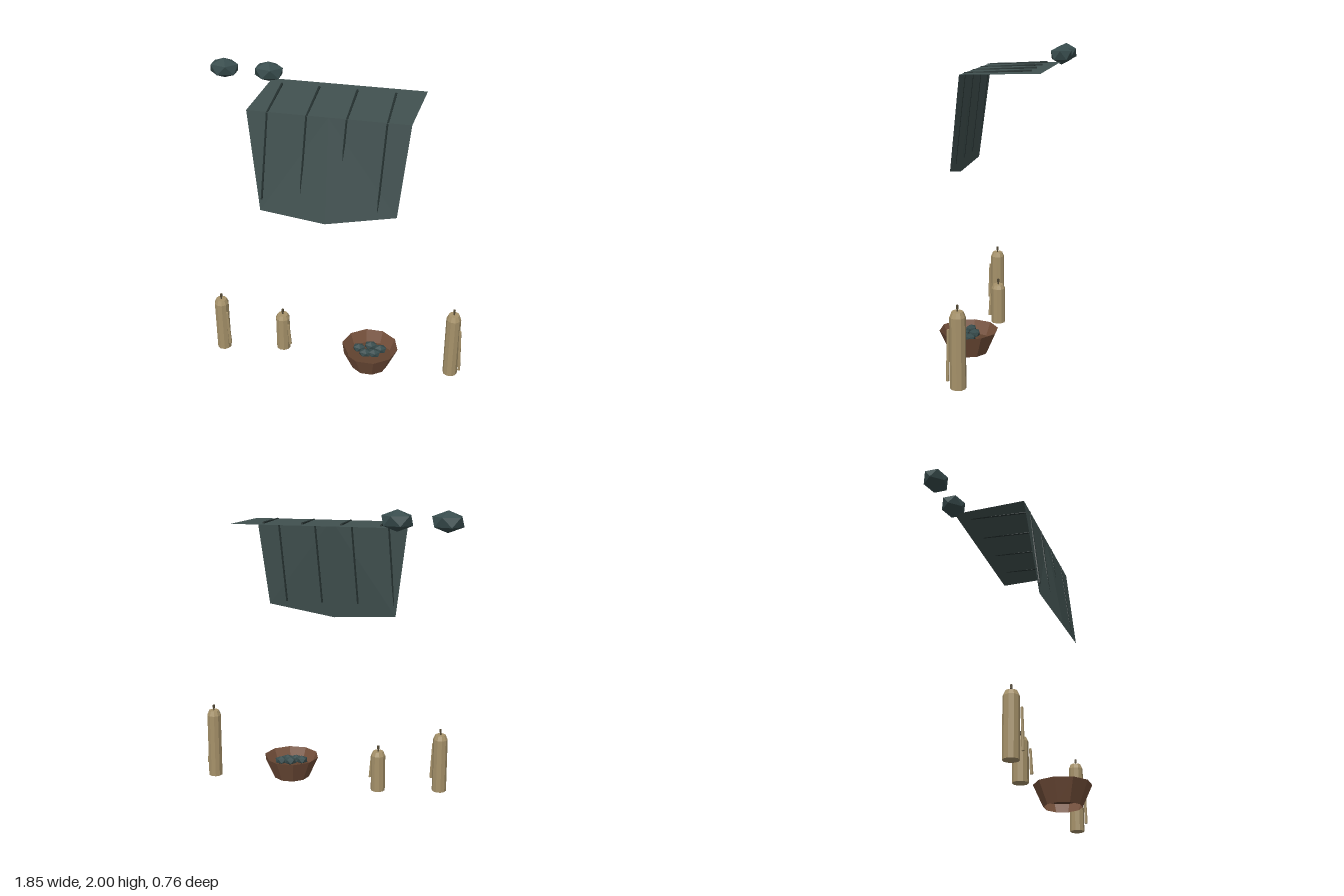
import * as THREE from 'three';
import { ConvexGeometry } from 'three/addons/geometries/ConvexGeometry.js';

const mat = (name, color, side = THREE.FrontSide) => {
  const m = new THREE.MeshStandardMaterial({ color, side, flatShading: true });
  m.name = name;
  return m;
};

export function createModel() {
  const cloth = mat('cloth', 0x415150, THREE.DoubleSide);
  const fold = mat('darkFold', 0x263231);
  const stone = mat('stone', 0x374b4c);
  const wax = mat('wax', 0xa6926a);
  const wickMat = mat('wick', 0x544a35);
  const wood = mat('wood', 0x75503b, THREE.DoubleSide);
  const woodDark = mat('darkWood', 0x60422f, THREE.DoubleSide);

  const model = new THREE.Group();
  const add = (parent, name, geometry, material, x = 0, y = 0, z = 0) => {
    const mesh = new THREE.Mesh(geometry, material);
    mesh.name = name;
    mesh.position.set(x, y, z);
    parent.add(mesh);
    return mesh;
  };

  // Flat polygon sheet fanned from its first corner
  const sheet = (corners) => {
    const g = new THREE.BufferGeometry();
    const tris = [];
    for (let i = 1; i < corners.length - 1; i++) tris.push(...corners[0], ...corners[i], ...corners[i + 1]);
    g.setAttribute('position', new THREE.Float32BufferAttribute(tris, 3));
    g.computeVertexNormals();
    return g;
  };

  // Thin round bar between two points
  const bar = (parent, name, a, b, rA, rB, material, sides = 6) => {
    const p = new THREE.Vector3(...a), q = new THREE.Vector3(...b);
    const dir = q.clone().sub(p);
    const mesh = add(parent, name, new THREE.CylinderGeometry(rB, rA, dir.length(), sides), material);
    mesh.position.copy(p).add(q).multiplyScalar(0.5);
    mesh.quaternion.setFromUnitVectors(new THREE.Vector3(0, 1, 0), dir.normalize());
  };

  // Draped cloth: flat top and hanging front
  const drape = new THREE.Group();
  drape.name = 'drapedCloth';
  model.add(drape);
  add(drape, 'clothTop', sheet([
    [-0.52, 1.87, 0.19], [0.515, 1.87, 0.19], [0.54, 1.885, -0.31], [-0.495, 1.885, -0.31],
  ]), cloth);
  add(drape, 'clothFront', sheet([
    [0, 1.87, 0.19], [-0.52, 1.87, 0.19], [-0.435, 1.21, 0.265],
    [0, 1.18, 0.3], [0.455, 1.265, 0.267], [0.515, 1.87, 0.19],
  ]), cloth);
  for (const x of [-0.405, -0.155, 0.097, 0.348]) {
    bar(drape, 'topFold', [x, 1.888, -0.225], [x + 0.02, 1.868, 0.19], 0.008, 0.007, fold);
    bar(drape, 'hangingFold', [x + 0.017, 1.865, 0.188], [x - 0.018, 1.29, 0.262], 0.007, 0.007, fold);
  }

  // Twelve-cornered stone with a point up
  const stoneGeometry = (rx, ry, rz) => {
    const pts = [new THREE.Vector3(0, ry, 0), new THREE.Vector3(0, -ry, 0)];
    for (let i = 0; i < 10; i++) {
      const a = (i * Math.PI) / 5;
      const y = i % 2 ? -0.447 : 0.447;
      pts.push(new THREE.Vector3(Math.cos(a) * 0.894 * rx, y * ry, Math.sin(a) * 0.894 * rz));
    }
    return new ConvexGeometry(pts);
  };
  const bigStone = stoneGeometry(0.109, 0.068, 0.084);
  for (const x of [-0.825, -0.518]) add(model, 'floatingStone', bigStone, stone, x, 1.932, -0.31);

  // Candles with wick and wax drip
  for (const [x, z, h] of [[-0.775, 0.195, 0.41], [-0.355, 0.112, 0.285], [0.85, 0.138, 0.49]]) {
    const candle = new THREE.Group();
    candle.name = 'candle';
    candle.position.set(x, 0, z);
    model.add(candle);
    const shoulder = h - (0.02 + h * 0.03);
    const profile = [[0, 0], [0.05, 0], [0.05, shoulder], [0.036, h], [0, h]];
    const body = add(candle, 'candleBody', new THREE.LatheGeometry(
      profile.map(([r, y]) => new THREE.Vector2(r, y)), 10), wax);
    body.rotation.y = Math.PI / 2;
    bar(candle, 'wick', [0, h - 0.005, 0], [0, h + 0.018, 0], 0.005, 0.005, wickMat);
    bar(candle, 'wickTip', [0, h + 0.016, 0], [0.001, h + 0.04, 0], 0.008, 0.008, wickMat);
    bar(candle, 'waxDrip', [0.064, 0.07, 0.05], [0.053, h * 0.8, 0.046], 0.011, 0.008, wax);
  }

  // Open ten-sided bowl with a raised floor
  const bowl = new THREE.Group();
  bowl.name = 'bowl';
  bowl.position.set(0.29, 0, 0.192);
  model.add(bowl);
  const wall = add(bowl, 'bowlWall', new THREE.CylinderGeometry(0.195, 0.128, 0.15, 10, 1, true), wood, 0, 0.095, 0);
  wall.rotation.y = Math.PI / 2;
  const floor = add(bowl, 'bowlFloor', new THREE.CircleGeometry(0.156, 10), woodDark, 0, 0.085, 0);
  floor.rotation.x = -Math.PI / 2;

  // Small stones in the bowl
  const pebble = stoneGeometry(0.047, 0.03, 0.038);
  for (const [x, y, z] of [[-0.075, 0.145, 0], [-0.025, 0.135, 0.035], [0.035, 0.135, 0.025], [0.07, 0.138, -0.025], [0, 0.145, -0.04]]) {
    add(bowl, 'pebble', pebble, stone, x, y, z);
  }
  return model;
}
